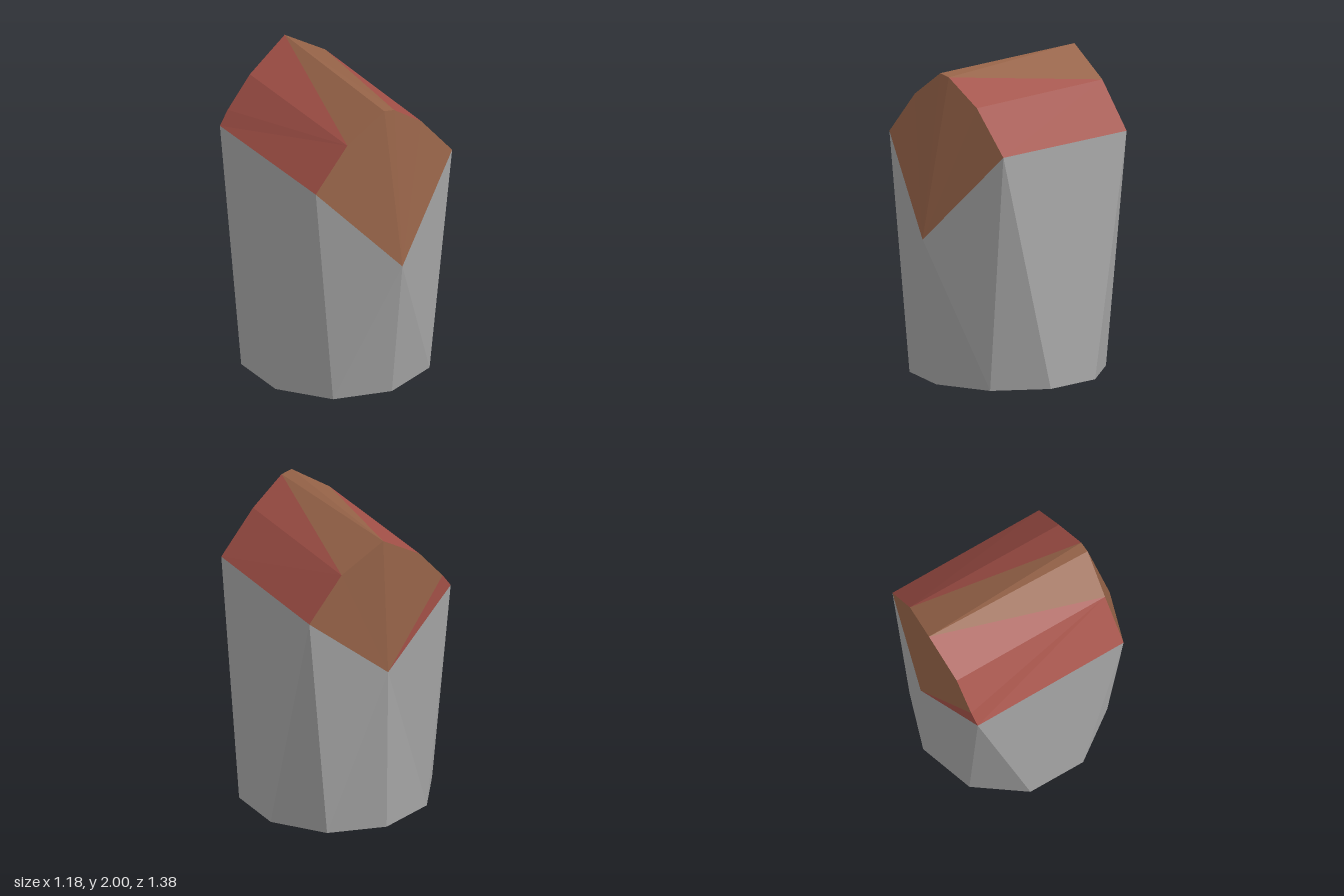
import * as THREE from 'three';

const stone = new THREE.MeshStandardMaterial({ color: 0xa6a6a6 });
stone.name = 'grey stone';
const red = new THREE.MeshStandardMaterial({ color: 0xa25047 });
red.name = 'roof red';
const brown = new THREE.MeshStandardMaterial({ color: 0x966348 });
brown.name = 'gable brown';

const V = (x, y, z) => new THREE.Vector3(x, y, z);
const CORE = V(0, 1, -0.05);

// Flat faces from convex polygons, each fanned and turned away from the core
function facets(name, material, polygons) {
  const points = [];
  for (const p of polygons) {
    for (let i = 1; i < p.length - 1; i++) {
      const t = new THREE.Triangle(p[0], p[i], p[i + 1]);
      const out = t.getNormal(V(0, 0, 0)).dot(t.getMidpoint(V(0, 0, 0)).sub(CORE)) > 0;
      points.push(...(out ? [t.a, t.b, t.c] : [t.a, t.c, t.b]));
    }
  }
  const geometry = new THREE.BufferGeometry().setFromPoints(points);
  geometry.computeVertexNormals();
  const mesh = new THREE.Mesh(geometry, material);
  mesh.name = name;
  return mesh;
}

export function createModel() {
  const model = new THREE.Group();
  model.name = 'gabledTower';

  // Ten-sided foot, counted from the front towards +x
  const foot = [];
  for (let i = 0; i < 10; i++) {
    const a = (i * Math.PI) / 5;
    foot.push(V(0.62 * Math.sin(a), 0, -0.05 + 0.622 * Math.cos(a)));
  }

  // Gable tips and roof outlines, from -x to +x
  const frontTip = V(0, 0.95, 0.69);
  const backTip = V(0, 1.1, -0.69);
  const front = [
    V(-0.515, 1.53, 0.483), V(-0.28, 1.81, 0.488), V(-0.02, 1.99, 0.517),
    V(0.055, 1.975, 0.515), V(0.28, 1.81, 0.488), V(0.515, 1.53, 0.483),
  ];
  const back = [
    V(-0.52, 1.53, -0.585), V(-0.455, 1.62, -0.594), V(-0.285, 1.82, -0.598),
    V(0, 2, -0.63), V(0.285, 1.82, -0.598), V(0.515, 1.53, -0.588),
  ];

  // Tapering walls: one set of facets per side
  const walls = [];
  for (const side of [1, -1]) {
    const b = [0, 1, 2, 3, 4, 5].map((i) => foot[(i * side + 10) % 10]);
    const f = side > 0 ? front[5] : front[0];
    const r = side > 0 ? back[5] : back[0];
    walls.push(
      [frontTip, b[0], b[1]], [frontTip, b[1], f], [f, b[1], b[2]],
      [f, b[2], b[3], r],
      [r, b[3], b[4]], [r, b[4], backTip], [backTip, b[4], b[5]],
    );
  }
  model.add(facets('walls', stone, walls));
  model.add(facets('base', stone, [foot]));

  // Pointed gables
  model.add(facets('frontGable', brown, [[frontTip, ...front]]));
  model.add(facets('backGable', brown, [[backTip, ...back.slice(1)]]));
  model.add(facets('backCorner', red, [[backTip, back[0], back[1]]]));

  // Roof ridge facets
  model.add(facets('ridge', brown, [
    [back[3], front[1], front[2]],
    [back[3], front[2], front[3]],
    [back[3], front[3], back[4]],
  ]));

  // Roof slopes
  model.add(facets('rightSlope', red, [
    [back[3], back[2], front[1]],
    [front[1], back[2], back[1], back[0], front[0]],
  ]));
  model.add(facets('leftSlope', red, [
    [back[4], front[3], front[4]],
    [back[4], front[4], front[5], back[5]],
  ]));

  return model;
}
